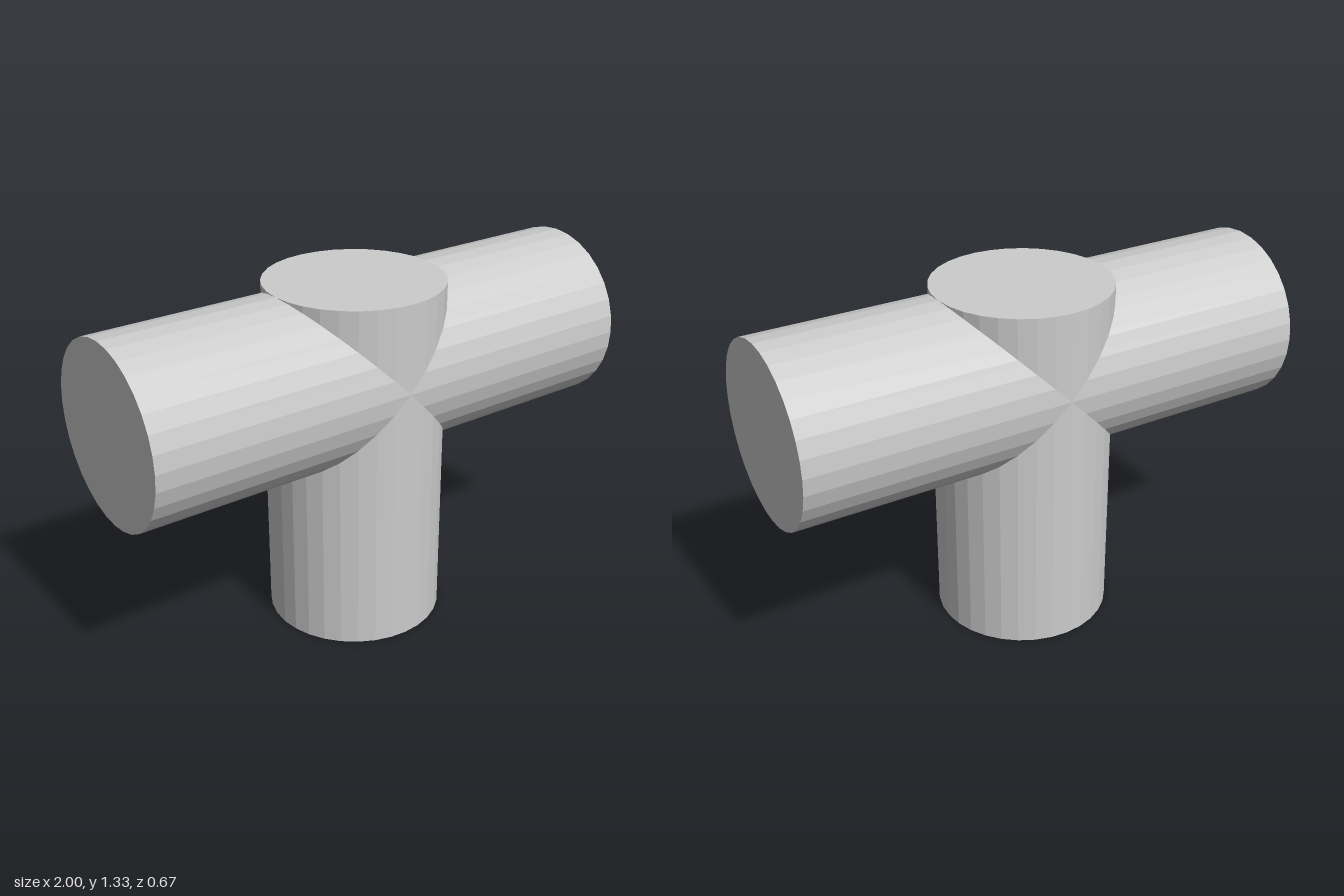
import * as THREE from 'three';

const RADIUS = 1 / 3;
const SIDES = 32;

export function createModel() {
  const model = new THREE.Group();
  model.name = 'crossedCylinders';
  const material = new THREE.MeshStandardMaterial({ color: 0xcccccc, flatShading: true });

  // Solid faceted cylinder, upright by default
  const addCylinder = (name, length, y) => {
    const geometry = new THREE.CylinderGeometry(RADIUS, RADIUS, length, SIDES);
    const mesh = new THREE.Mesh(geometry, material);
    mesh.name = name;
    mesh.position.y = y;
    model.add(mesh);
    return mesh;
  };

  // Upright post from the ground to the top of the crossbar
  const height = 1 + RADIUS;
  addCylinder('uprightPost', height, height / 2);

  // Crossbar lying along x, its axis one unit up
  addCylinder('crossbar', 2, 1).rotation.z = Math.PI / 2;

  return model;
}
